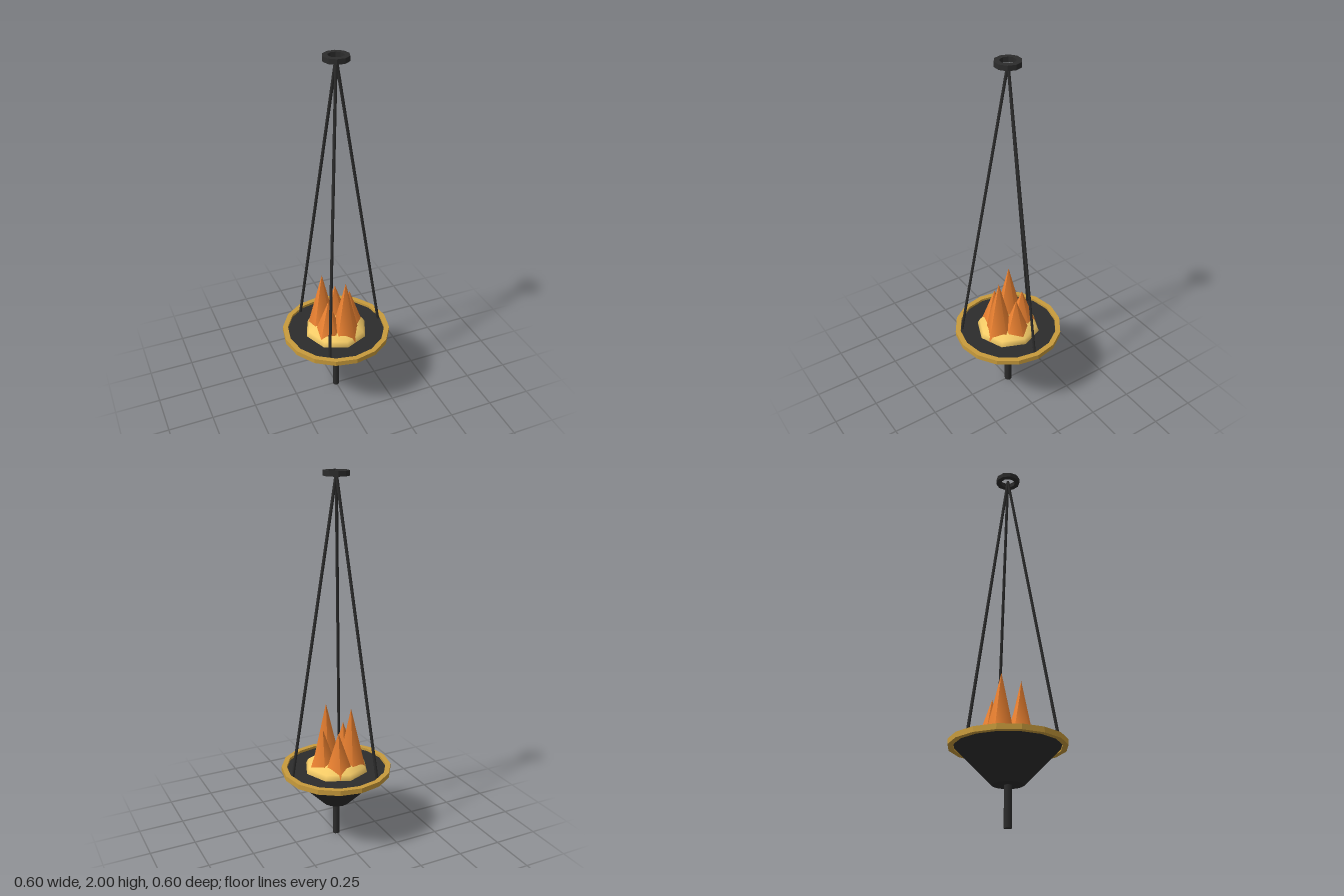
import * as THREE from 'three';
import { toCreasedNormals } from 'three/addons/utils/BufferGeometryUtils.js';

export function createModel() {
  const group = new THREE.Group();
  const iron = new THREE.MeshStandardMaterial({ color: 0x2c2c2c });
  const gold = new THREE.MeshStandardMaterial({ color: 0xc89b3c });
  const flame = new THREE.MeshStandardMaterial({ color: 0xf08432 });
  const ember = new THREE.MeshStandardMaterial({ color: 0xf5cb66 });

  function add(name, geometry, material, x = 0, y = 0, z = 0) {
    const mesh = new THREE.Mesh(geometry, material);
    mesh.name = name;
    mesh.position.set(x, y, z);
    group.add(mesh);
    return mesh;
  }

  // Flat-sided ring with a rectangular section
  function ring(inner, outer, y0, y1, sides) {
    const profile = [[inner, y0], [outer, y0], [outer, y1], [inner, y1], [inner, y0]];
    const lathe = new THREE.LatheGeometry(profile.map(([x, y]) => new THREE.Vector2(x, y)), sides);
    return toCreasedNormals(lathe.rotateY(Math.PI / 2), 0.3);
  }

  // Bowl with its stem and rim
  add('stem', new THREE.CylinderGeometry(0.02, 0.02, 0.22, 8), iron, 0, 0.11);
  add('bowl', new THREE.CylinderGeometry(0.275, 0.08, 0.2, 16), iron, 0, 0.306);
  add('rim', ring(0.272, 0.3, 0.392, 0.42, 16), gold);

  // Three rods rising to the hanging ring
  const top = new THREE.Vector3(0, 1.985, 0);
  for (let i = 0; i < 3; i++) {
    const a = i * Math.PI * 2 / 3;
    const foot = new THREE.Vector3(0.262 * Math.cos(a), 0.4, 0.262 * Math.sin(a));
    const dir = top.clone().sub(foot);
    const rod = add('rod', new THREE.CylinderGeometry(0.008, 0.008, dir.length(), 6), iron);
    rod.position.copy(foot).addScaledVector(dir, 0.5);
    rod.quaternion.setFromUnitVectors(new THREE.Vector3(0, 1, 0), dir.normalize());
  }
  add('hangingRing', ring(0.04, 0.067, 1.974, 2, 10), iron);

  // Ember mound, a flattened half dome
  const mound = new THREE.SphereGeometry(0.177, 8, 4, 0, Math.PI * 2, 0, Math.PI / 2);
  add('embers', mound, ember, 0, 0.406).scale.y = 0.4;

  // Five flames in a circle, alternating short and tall
  for (let i = 0; i < 5; i++) {
    const a = i * Math.PI * 2 / 5;
    const height = i % 2 ? 0.355 : 0.24;
    const cone = new THREE.ConeGeometry(0.085, height, 5).rotateY(Math.PI / 2);
    add('flame', cone, flame, 0.08 * Math.cos(a), 0.406 + height / 2, 0.08 * Math.sin(a));
  }
  return group;
}
